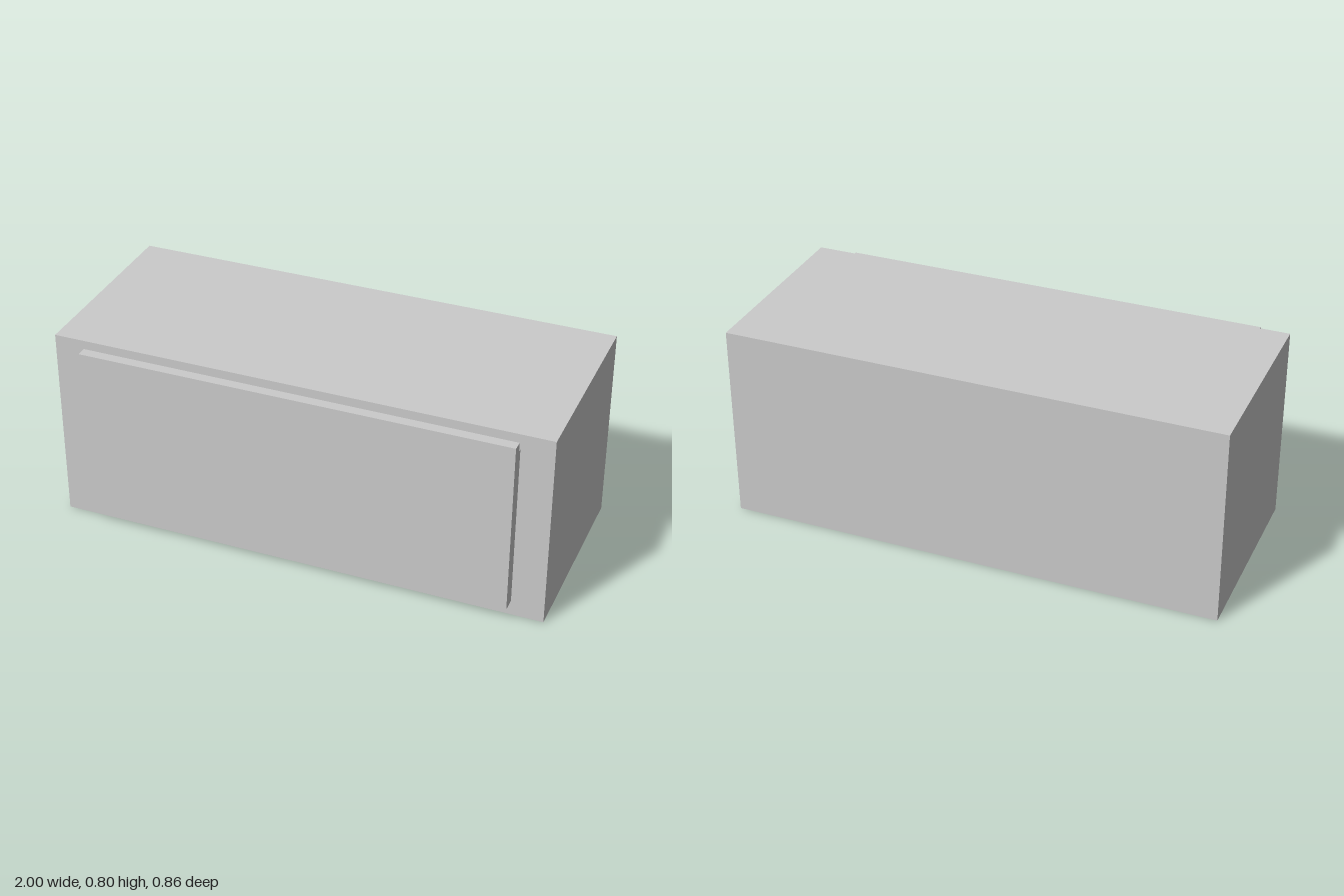
import * as THREE from 'three';

const material = new THREE.MeshStandardMaterial({ color: 0xcccccc, flatShading: true });

const W = 2, H = 0.803, BACK = -0.43, FACE = 0.373, FRONT = 0.43;
const BACK_THICKNESS = 0.05;

function add(parent, name, geometry) {
  const mesh = new THREE.Mesh(geometry, material);
  mesh.name = name;
  parent.add(mesh);
  return mesh;
}

// Box given by its lower and upper limits on each axis
function box(parent, name, [x0, x1], [y0, y1], [z0, z1]) {
  const mesh = add(parent, name, new THREE.BoxGeometry(x1 - x0, y1 - y0, z1 - z0));
  mesh.position.set((x0 + x1) / 2, (y0 + y1) / 2, (z0 + z1) / 2);
  return mesh;
}

function rectangle(Type, x0, x1, y0, y1) {
  return new Type([[x0, y0], [x1, y0], [x1, y1], [x0, y1]].map(p => new THREE.Vector2(...p)));
}

export function createModel() {
  const model = new THREE.Group();
  model.name = 'drawerCabinet';

  // Cabinet shell with the drawer opening, closed at the back
  const shell = rectangle(THREE.Shape, -W / 2, W / 2, 0, H);
  shell.holes.push(rectangle(THREE.Path, -0.865, 0.865, 0.053, 0.75));
  const shellGeometry = new THREE.ExtrudeGeometry(shell, { depth: FACE - BACK, bevelEnabled: false });
  shellGeometry.translate(0, 0, BACK);
  add(model, 'cabinetShell', shellGeometry);
  box(model, 'cabinetBack', [-0.865, 0.865], [0.053, 0.75], [BACK, BACK + BACK_THICKNESS]);

  // Drawer front: side profile with a finger groove along the top rear edge
  const drawer = new THREE.Group();
  drawer.name = 'drawer';
  const profile = new THREE.Shape([
    [FACE, 0.063], [FRONT, 0.063], [FRONT, 0.777], [0.388, 0.777], [0.388, 0.742], [FACE, 0.742],
  ].map(p => new THREE.Vector2(...p)));
  const frontGeometry = new THREE.ExtrudeGeometry(profile, { depth: 1.74, bevelEnabled: false });
  frontGeometry.rotateY(-Math.PI / 2).translate(0.87, 0, 0);
  add(drawer, 'drawerFront', frontGeometry);

  // Drawer tray behind the front
  const depth = [-0.36, FACE];
  box(drawer, 'drawerBottom', [-0.85, 0.85], [0.065, 0.09], depth);
  for (const s of [-1, 1]) {
    const side = box(drawer, s > 0 ? 'drawerLeftSide' : 'drawerRightSide', [0.825, 0.85], [0.09, 0.65], depth);
    side.position.x *= s;
  }
  box(drawer, 'drawerRear', [-0.825, 0.825], [0.09, 0.65], [-0.36, -0.335]);
  model.add(drawer);

  return model;
}
